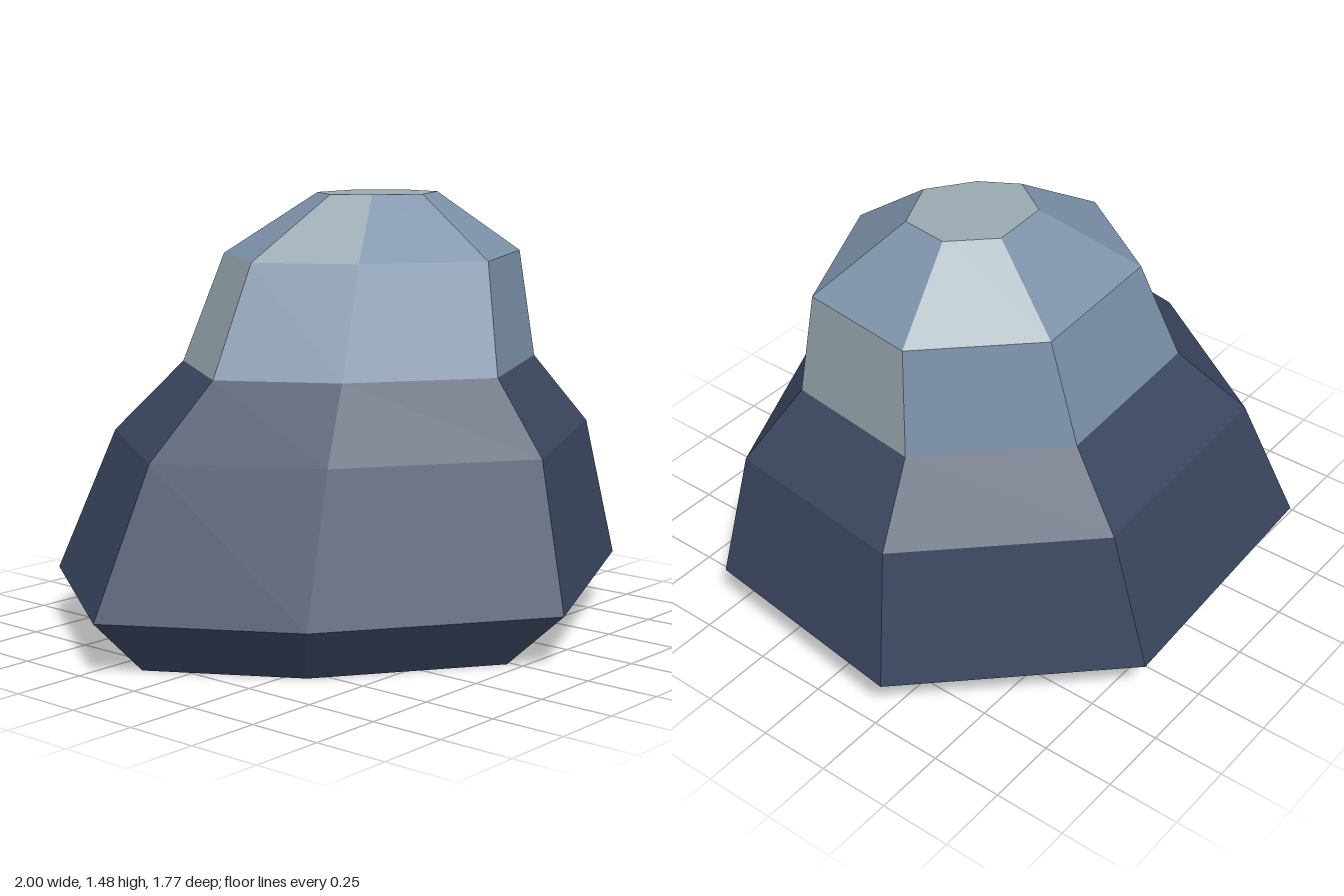
import * as THREE from 'three';

// Seven-sided outline [x, z], clockwise seen from above
const OUTLINE = [
  [-1, -0.18], [-0.56, -0.84], [0.41, -0.89], [1, -0.28],
  [0.9, 0.5], [0.03, 0.885], [-0.65, 0.4],
];
const N = OUTLINE.length;

// Outline scaled and shifted to a given height
const ring = (y, scale, dx, dz) =>
  OUTLINE.map(([x, z]) => [x * scale + dx, y, z * scale + dz]);

const RINGS = [
  ring(0, 0.79, -0.04, 0),
  ring(0.18, 1, 0, 0),
  ring(0.66, 0.845, 0.075, -0.005),
  ring(0.9, 0.625, 0.115, -0.015),
  ring(1.27, 0.525, 0.185, -0.02),
  ring(1.48, 0.21, 0.21, -0.03),
];

// One facet between two rings
function facet(low, high, i) {
  const j = (i + 1) % N;
  return [low[i], high[i], high[j], low[i], high[j], low[j]];
}

// Flat lid closing a ring
function lid(points, facesUp) {
  const out = [];
  for (let i = 1; i < N - 1; i++) {
    out.push(points[0], ...(facesUp ? [points[i + 1], points[i]] : [points[i], points[i + 1]]));
  }
  return out;
}

function addMesh(group, name, corners, material) {
  const geometry = new THREE.BufferGeometry();
  geometry.setAttribute('position', new THREE.Float32BufferAttribute(corners.flat(), 3));
  geometry.computeVertexNormals();
  const mesh = new THREE.Mesh(geometry, material);
  mesh.name = name;
  group.add(mesh);
}

export function createModel() {
  const navy = new THREE.MeshStandardMaterial({ color: 0x3b4761, flatShading: true });
  navy.name = 'dark navy stone';
  const blue = new THREE.MeshStandardMaterial({ color: 0x7d92aa, flatShading: true });
  blue.name = 'slate blue stone';
  const pale = new THREE.MeshStandardMaterial({ color: 0x9aaab1, flatShading: true });
  pale.name = 'pale grey stone';

  const group = new THREE.Group();
  group.name = 'rock';

  // Dark lower body with closed underside
  const base = lid(RINGS[0], false);
  for (let r = 0; r < 3; r++) {
    for (let i = 0; i < N; i++) base.push(...facet(RINGS[r], RINGS[r + 1], i));
  }
  addMesh(group, 'rockBase', base, navy);

  // Light upper part: a few facets and the flat top are paler
  const paleFacets = { 3: [0, 3], 4: [2, 6] };
  const blueCorners = [];
  const paleCorners = lid(RINGS[5], true);
  for (const r of [3, 4]) {
    for (let i = 0; i < N; i++) {
      const target = paleFacets[r].includes(i) ? paleCorners : blueCorners;
      target.push(...facet(RINGS[r], RINGS[r + 1], i));
    }
  }
  addMesh(group, 'peakFacets', blueCorners, blue);
  addMesh(group, 'palePeakFacets', paleCorners, pale);

  return group;
}
